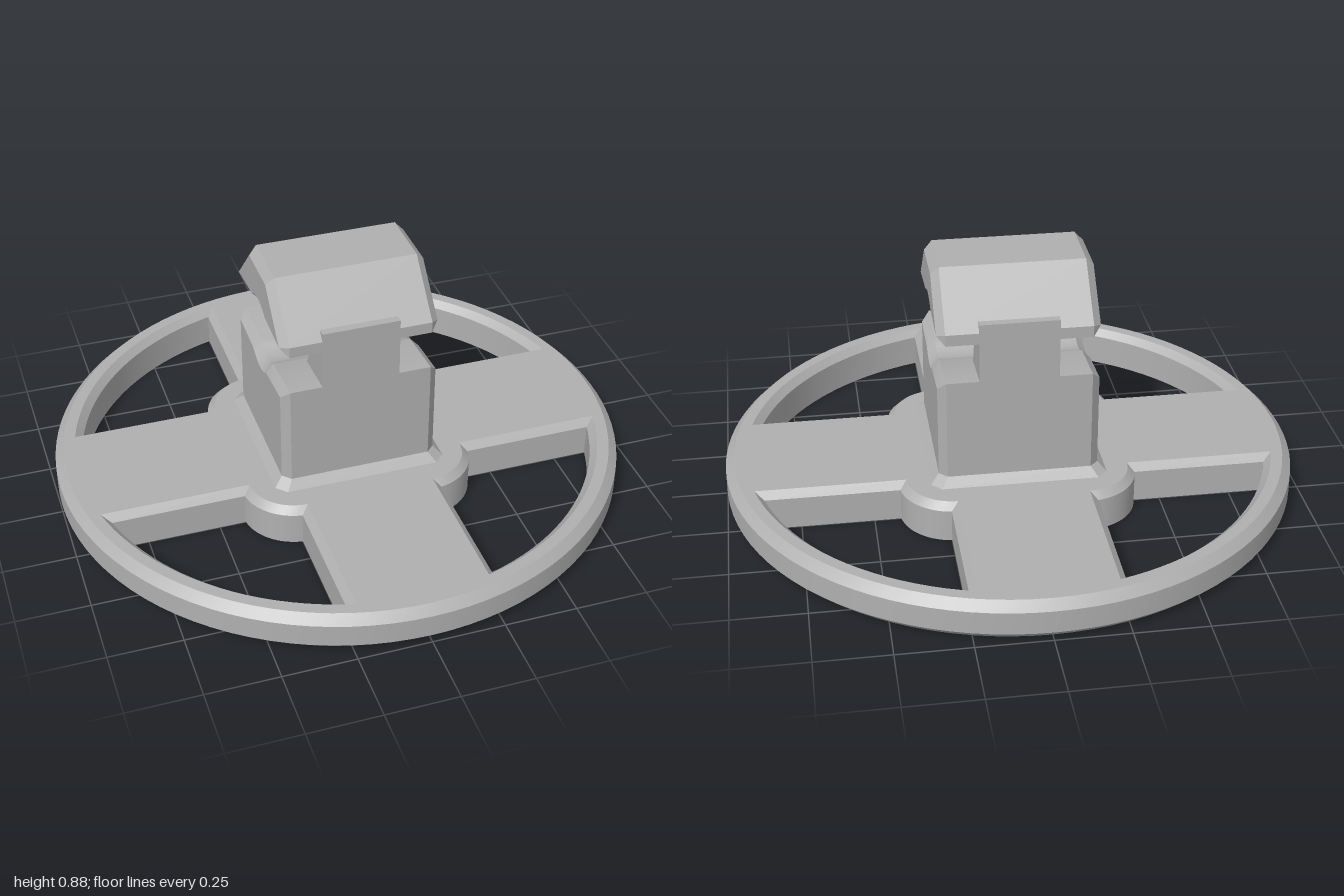
import * as THREE from 'three';
import { mergeGeometries, toCreasedNormals } from 'three/addons/utils/BufferGeometryUtils.js';

const V = (x, y) => new THREE.Vector2(x, y);

// Points along an arc in the (x, z) plane
function arc(cx, cz, r, a0, a1, n) {
  return Array.from({ length: n + 1 }, (_, i) => {
    const a = a0 + (a1 - a0) * i / n;
    return V(cx + r * Math.cos(a), cz + r * Math.sin(a));
  });
}
const circle = (r, n) => arc(0, 0, r, 0, Math.PI * 2, n).slice(0, n);

// Wall between two matching loops; lower to upper faces outward, upper to lower inward
function band(a, ya, b, yb) {
  const pos = [];
  a.forEach((p, i) => {
    const j = (i + 1) % a.length, q = a[j], r = b[i], s = b[j];
    pos.push(p.x, ya, p.y, r.x, yb, r.y, q.x, ya, q.y);
    pos.push(q.x, ya, q.y, r.x, yb, r.y, s.x, yb, s.y);
  });
  const g = new THREE.BufferGeometry();
  g.setAttribute('position', new THREE.Float32BufferAttribute(pos, 3));
  return g;
}

// Flat horizontal face with holes, facing up or down
function face(loop, holes, y, up) {
  const shape = new THREE.Shape(loop);
  shape.holes = holes.map(h => new THREE.Path(h));
  const g = new THREE.ShapeGeometry(shape).toNonIndexed();
  g.deleteAttribute('uv');
  g.deleteAttribute('normal');
  return g.rotateX(up ? -Math.PI / 2 : Math.PI / 2).translate(0, y, 0);
}

const join = parts => toCreasedNormals(mergeGeometries(parts), 0.5);

// Opening between two spokes: rim arc, straight sides and rounded hub corner, inset by d
function opening(d, quarter) {
  const c = 0.225, w = c + d, R = 0.93 - d, b = 0.16 + d;
  const t = Math.asin(w / R), u = Math.asin(d / b);
  const loop = [
    ...arc(0, 0, R, t, Math.PI / 2 - t, 20),
    ...arc(c, c, b, Math.PI / 2 - u, u, 14),
  ];
  return loop.map(p => p.clone().rotateAround(V(0, 0), quarter * Math.PI / 2));
}

// Long underside slot with a round widening in the middle
function slotLoop() {
  const r = 0.065, R = 0.09, e = 0.415, H = Math.PI / 2, a = Math.asin(r / R);
  return [
    ...arc(e, 0, r, -H, H, 10), ...arc(0, 0, R, a, Math.PI - a, 8),
    ...arc(-e, 0, r, H, 3 * H, 10), ...arc(0, 0, R, Math.PI + a, 2 * Math.PI - a, 8),
  ];
}

function baseGeometry() {
  const top = 0.14, bevel = 0.03, hb = 0.025;
  const outer = circle(1, 96), inner = circle(0.97, 96), slot = slotLoop();
  const wide = [0, 1, 2, 3].map(q => opening(0, q));
  const tight = [0, 1, 2, 3].map(q => opening(hb, q));
  const parts = [
    band(inner, 0, outer, bevel),
    band(outer, bevel, outer, top - bevel),
    band(outer, top - bevel, inner, top),
    face(inner, wide, top, true),
    face(inner, [...tight, slot], 0, false),
    band(slot, 0.09, slot, 0),
    face(slot, [], 0.09, false),
  ];
  for (let q = 0; q < 4; q++) {
    parts.push(band(wide[q], top, tight[q], top - hb), band(tight[q], top - hb, tight[q], 0));
  }
  return join(parts);
}

const HALF = 0.275, HOLE_Y = 0.6;

// Distance of the groove face from the hole axis, widening round the hole
function grooveLine(sign) {
  const zs = [-HALF];
  for (let i = -6; i <= 6; i++) zs.push(i * 0.0125);
  zs.push(HALF);
  return zs.map(z => {
    const slope = 0.07 + (HALF - Math.abs(z)) * 0.075;
    const bump = Math.abs(z) < 0.11 ? Math.sqrt(0.0121 - z * z) : 0;
    return V(z, HOLE_Y + sign * Math.max(slope, bump));
  });
}

// Side profile (z, y) extruded across x with chamfered ends
function bevelled(points) {
  const b = 0.028;
  const g = new THREE.ExtrudeGeometry(new THREE.Shape(points), {
    depth: 2 * (HALF - b), bevelEnabled: true, bevelSegments: 1,
    bevelSize: b, bevelThickness: b, bevelOffset: -b,
  });
  return toCreasedNormals(g.translate(0, 0, b - HALF).rotateY(Math.PI / 2), 0.4);
}

// Narrow neck with a countersunk cross hole
function neckGeometry() {
  const w = 0.135, s = 0.025, h = 0.14;
  const rect = [V(h, -HALF), V(h, HALF), V(-h, HALF), V(-h, -HALF)];
  const big = circle(0.125, 48), small = circle(0.1, 48);
  return join([
    band(rect, -w, rect, w),
    face(rect, [big], w, true), face(rect, [big], -w, false),
    band(big, w, small, w - s), band(small, w - s, small, s - w), band(small, s - w, big, -w),
  ]).rotateZ(Math.PI / 2).translate(0, HOLE_Y, 0);
}

// Square loop with cut corners
function cutSquare(h, c) {
  return [V(h, c - h), V(h, h - c), V(h - c, h), V(c - h, h),
    V(-h, h - c), V(-h, c - h), V(c - h, -h), V(h - c, -h)];
}

export function createModel() {
  const model = new THREE.Group();
  const grey = new THREE.MeshStandardMaterial({ color: 0xb0b0b0 });
  grey.name = 'plain grey';
  const add = (name, geometry) => {
    const mesh = new THREE.Mesh(geometry, grey);
    mesh.name = name;
    model.add(mesh);
  };

  add('spokedBase', baseGeometry());
  add('postFoot', join([band(cutSquare(0.305, 0.035), 0.14, cutSquare(HALF, 0.028), 0.17)]));
  add('post', bevelled([V(HALF, 0.1), ...grooveLine(-1).reverse(), V(-HALF, 0.1)]));
  add('neck', neckGeometry());
  add('cap', bevelled([...grooveLine(1), V(HALF, 0.71), V(0.11, 0.88), V(-0.11, 0.88), V(-HALF, 0.71)]));
  return model;
}
